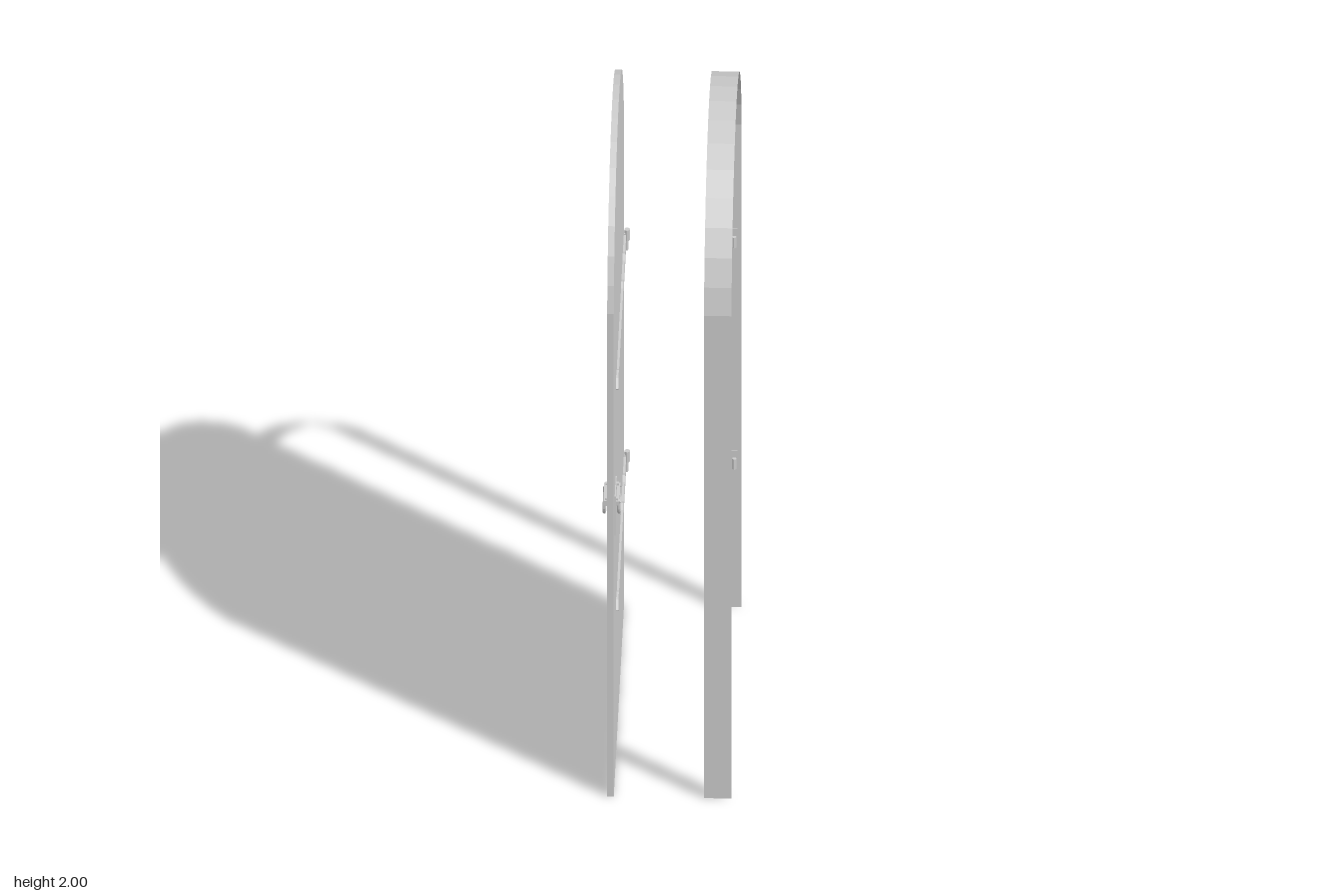
import * as THREE from 'three';

const material = new THREE.MeshStandardMaterial({ color: 0xcccccc, flatShading: true, side: THREE.DoubleSide });
const HALF = 0.458, SPRING = 1.6, TOP = 1.995, DOOR_X = -0.155;

function add(parent, geometry, name) {
  const mesh = new THREE.Mesh(geometry, material);
  mesh.name = name;
  parent.add(mesh);
  return mesh;
}

// Extrudes an outline drawn in (z, y) along x, from x0 to x1
function extrudeX(points, x0, x1) {
  const geometry = new THREE.ExtrudeGeometry(new THREE.Shape(points), { depth: x1 - x0, bevelEnabled: false });
  return geometry.translate(0, 0, -x1).rotateY(-Math.PI / 2);
}

// Box given by its limits on each axis
function block(x0, x1, y0, y1, z0, z1) {
  return new THREE.BoxGeometry(x1 - x0, y1 - y0, z1 - z0)
    .translate((x0 + x1) / 2, (y0 + y1) / 2, (z0 + z1) / 2);
}

// Round-topped outline in (z, y), from one foot over the arch to the other
function archOutline() {
  const rise = TOP - SPRING;
  const radius = (HALF * HALF + rise * rise) / (2 * rise);
  const centre = TOP - radius;
  const start = Math.asin((SPRING - centre) / radius);
  const points = [new THREE.Vector2(HALF, 0)];
  const segments = 16;
  for (let i = 0; i <= segments; i++) {
    const a = start + (Math.PI - 2 * start) * i / segments;
    points.push(new THREE.Vector2(radius * Math.cos(a), centre + radius * Math.sin(a)));
  }
  points.push(new THREE.Vector2(-HALF, 0));
  return points;
}

// Thin open strip that follows the arch
function frameGeometry(x0, x1) {
  const outline = archOutline(), position = [], index = [];
  outline.forEach((p, i) => {
    position.push(x0, p.y, p.x, x1, p.y, p.x);
    if (i) {
      const a = 2 * (i - 1);
      index.push(a, a + 1, a + 2, a + 1, a + 3, a + 2);
    }
  });
  const geometry = new THREE.BufferGeometry();
  geometry.setAttribute('position', new THREE.Float32BufferAttribute(position, 3));
  geometry.setIndex(index);
  geometry.computeVertexNormals();
  return geometry;
}

// Strap outline: scalloped near the hinge, tapering to a spade tip
function strapOutline(y) {
  const half = [[-0.44, 0.02], [-0.36, 0.019], [-0.34, 0.026], [-0.32, 0.017], [-0.23, 0.016],
    [-0.21, 0.023], [-0.19, 0.014], [0.19, 0.011], [0.215, 0.024], [0.245, 0.019]];
  return [
    ...half.map(([z, h]) => new THREE.Vector2(z, y - h)),
    new THREE.Vector2(0.27, y),
    ...half.reverse().map(([z, h]) => new THREE.Vector2(z, y + h)),
  ];
}

// Hanging D-shaped pull with its bar, mounts and back plate
function makeHandle() {
  const handle = new THREE.Group();
  handle.name = 'handle';
  add(handle, block(0.008, 0.012, 0.81, 0.94, 0.28, 0.378), 'handlePlate');
  add(handle, block(0.013, 0.022, 0.911, 0.924, 0.287, 0.378), 'handleBar');
  for (const z of [0.297, 0.368]) add(handle, block(0.01, 0.018, 0.905, 0.93, z - 0.005, z + 0.005), 'handleMount');
  const path = new THREE.CatmullRomCurve3(
    [[0.37, 0.915], [0.367, 0.89], [0.35, 0.869], [0.333, 0.865], [0.315, 0.869], [0.298, 0.89], [0.295, 0.915]]
      .map(([z, y]) => new THREE.Vector3(0.02, y, z)));
  add(handle, new THREE.TubeGeometry(path, 14, 0.005, 6, false), 'handleRing');
  return handle;
}

export function createModel() {
  const model = new THREE.Group();
  model.name = 'archedDoor';

  const door = new THREE.Group();
  door.name = 'door';
  door.position.x = DOOR_X;
  model.add(door);
  add(door, extrudeX(archOutline(), -0.009, 0.009), 'doorPanel');

  const frame = new THREE.Group();
  frame.name = 'frame';
  model.add(frame);
  add(frame, frameGeometry(0.1, 0.175), 'archStrip');

  // Ironwork on both faces of the door
  for (const side of [1, -1]) {
    const face = new THREE.Group();
    face.name = side > 0 ? 'leftFaceIronwork' : 'rightFaceIronwork';
    face.rotation.y = 0;
    face.scale.x = side;
    for (const y of [1.222, 0.487]) add(face, extrudeX(strapOutline(y), 0.008, 0.0155), 'strap');
    face.add(makeHandle());
    door.add(face);
  }

  // Hinges: wrap and knuckles on the door, matching plate on the frame
  for (const y of [1.222, 0.487]) {
    add(door, block(-0.018, 0.014, y - 0.03, y + 0.024, -0.452, -0.437), 'hingeWrap');
    add(door, new THREE.CylinderGeometry(0.008, 0.008, 0.034, 10).translate(0.018, y + 0.017, -0.445), 'hingeKnuckle');
    add(door, new THREE.CylinderGeometry(0.005, 0.005, 0.034, 8).translate(0.016, y - 0.017, -0.445), 'hingePin');
    add(frame, block(0.147, 0.164, y - 0.034, y + 0.034, -HALF - 0.002, -HALF + 0.004), 'hingePlate');
    add(frame, new THREE.CylinderGeometry(0.006, 0.006, 0.034, 8).translate(0.155, y - 0.005, -HALF + 0.009), 'frameKnuckle');
  }
  return model;
}
